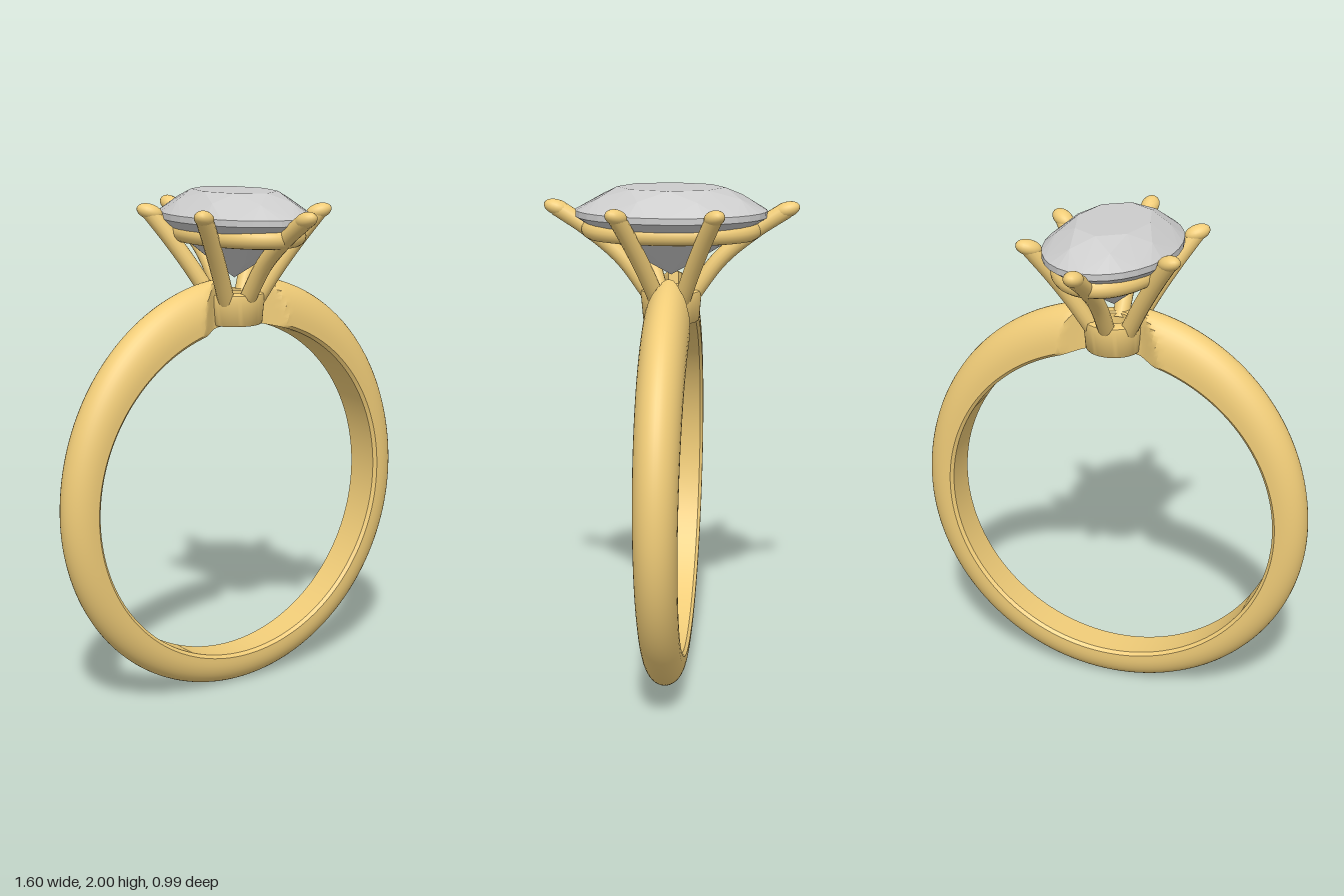
import * as THREE from 'three';
import { toCreasedNormals } from 'three/addons/utils/BufferGeometryUtils.js';
import { ConvexGeometry } from 'three/addons/geometries/ConvexGeometry.js';

const gold = new THREE.MeshStandardMaterial({ color: 0xf0cc78 });
const grey = new THREE.MeshStandardMaterial({ color: 0xcccccc });
const CENTRE = 0.805, INNER = 0.675;

function add(parent, name, geometry, material = gold) {
  const mesh = new THREE.Mesh(geometry, material);
  mesh.name = name;
  parent.add(mesh);
  return mesh;
}

// D-shaped section [height above inner face, z], thicker and wider near the top
function bandSection(phi) {
  const c = Math.cos(phi);
  const thick = c > 0 ? 0.125 + 0.06 * c * c : 0.125 + 0.005 * c * c;
  const w = 0.082 + 0.008 * c, base = 0.22 * thick, e = 0.012;
  const pts = [];
  for (let i = 0; i <= 20; i++) {
    const a = (i / 20 - 0.5) * Math.PI;
    pts.push([base + (thick - base) * Math.cos(a), w * Math.sin(a)]);
  }
  pts.push([e, w], [0, w - e], [0, 0], [0, e - w], [e, -w]);
  return pts;
}

// Open band whose two shoulders are cut to a wedge where they meet the collar
function bandGeometry() {
  const steps = 220, start = 0.12, pos = [], idx = [];
  let n = 0;
  for (let i = 0; i <= steps; i++) {
    const phi = start + (i / steps) * (2 * Math.PI - 2 * start);
    const section = bandSection(phi);
    n = section.length;
    for (const [h, z] of section) {
      const x = Math.sin(phi) * (INNER + h), y = CENTRE + Math.cos(phi) * (INNER + h);
      const limit = y > CENTRE ? Math.max(0.02, 0.02 + (Math.abs(x) - 0.11) * 0.78) : 1;
      pos.push(x, y, THREE.MathUtils.clamp(z, -limit, limit));
    }
  }
  for (let i = 0; i < steps; i++) {
    for (let j = 0; j < n; j++) {
      const a = i * n + j, b = i * n + (j + 1) % n;
      idx.push(a, b, a + n, b, b + n, a + n);
    }
  }
  const last = steps * n;
  for (let j = 1; j < n - 1; j++) idx.push(0, j + 1, j, last, last + j, last + j + 1);
  const g = new THREE.BufferGeometry();
  g.setAttribute('position', new THREE.Float32BufferAttribute(pos, 3));
  g.setIndex(idx);
  return toCreasedNormals(g, 0.6);
}

// Oval brilliant cut: table, crown, girdle, pavilion and culet
function stoneGeometry() {
  const pts = [];
  const ring = (count, r, y, offset = 0) => {
    for (let i = 0; i < count; i++) {
      const a = ((i + offset) / count) * Math.PI * 2;
      pts.push(new THREE.Vector3(0.255 * r * Math.cos(a), y, 0.373 * r * Math.sin(a)));
    }
  };
  ring(8, 0.56, 2.0);
  ring(8, 0.79, 1.964, 0.5);
  ring(32, 1, 1.912);
  ring(32, 1, 1.888);
  ring(8, 0.3, 1.722, 0.5);
  pts.push(new THREE.Vector3(0, 1.66, 0));
  return new ConvexGeometry(pts);
}

// Prong rising from the collar, drawn in its own plane and turned to its angle
function prong(parent, name, angle, path) {
  const group = new THREE.Group();
  group.name = name;
  group.rotation.y = angle;
  const curve = new THREE.CatmullRomCurve3(path.map(([r, y]) => new THREE.Vector3(0, y, r)));
  add(group, 'prongStem', new THREE.TubeGeometry(curve, 20, 0.033, 14));
  const [r, y] = path[path.length - 1];
  const tip = add(group, 'prongTip', new THREE.SphereGeometry(1, 20, 14));
  tip.scale.set(0.036, 0.03, 0.052);
  tip.position.set(0, y, r);
  tip.rotation.x = -0.3;
  parent.add(group);
}

export function createModel() {
  const model = new THREE.Group();
  model.name = 'ring';
  add(model, 'band', bandGeometry());

  // Hollow collar
  const profile = [[0.058, 1.48], [0.105, 1.48], [0.11, 1.486], [0.119, 1.59],
    [0.117, 1.601], [0.108, 1.606], [0.064, 1.606], [0.058, 1.6], [0.058, 1.48]];
  const collar = new THREE.LatheGeometry(profile.map(p => new THREE.Vector2(...p)), 48);
  add(model, 'collar', toCreasedNormals(collar, 0.7));

  // Oval rail under the stone
  const oval = [];
  for (let i = 0; i < 48; i++) {
    const a = (i / 48) * Math.PI * 2;
    oval.push(new THREE.Vector3(0.183 * Math.cos(a), 1.837, 0.312 * Math.sin(a)));
  }
  add(model, 'galleryRail',
    new THREE.TubeGeometry(new THREE.CatmullRomCurve3(oval, true), 96, 0.038, 16, true));

  // End prongs on z and four side prongs
  for (const turn of [0, Math.PI]) {
    prong(model, 'endProng', turn, [[0.075, 1.57], [0.19, 1.725], [0.32, 1.835], [0.445, 1.917]]);
    for (const side of [-1, 1]) {
      prong(model, 'sideProng', turn + side * 0.98,
        [[0.085, 1.57], [0.16, 1.69], [0.245, 1.81], [0.328, 1.917]]);
    }
  }

  add(model, 'stone', stoneGeometry(), grey);
  return model;
}
